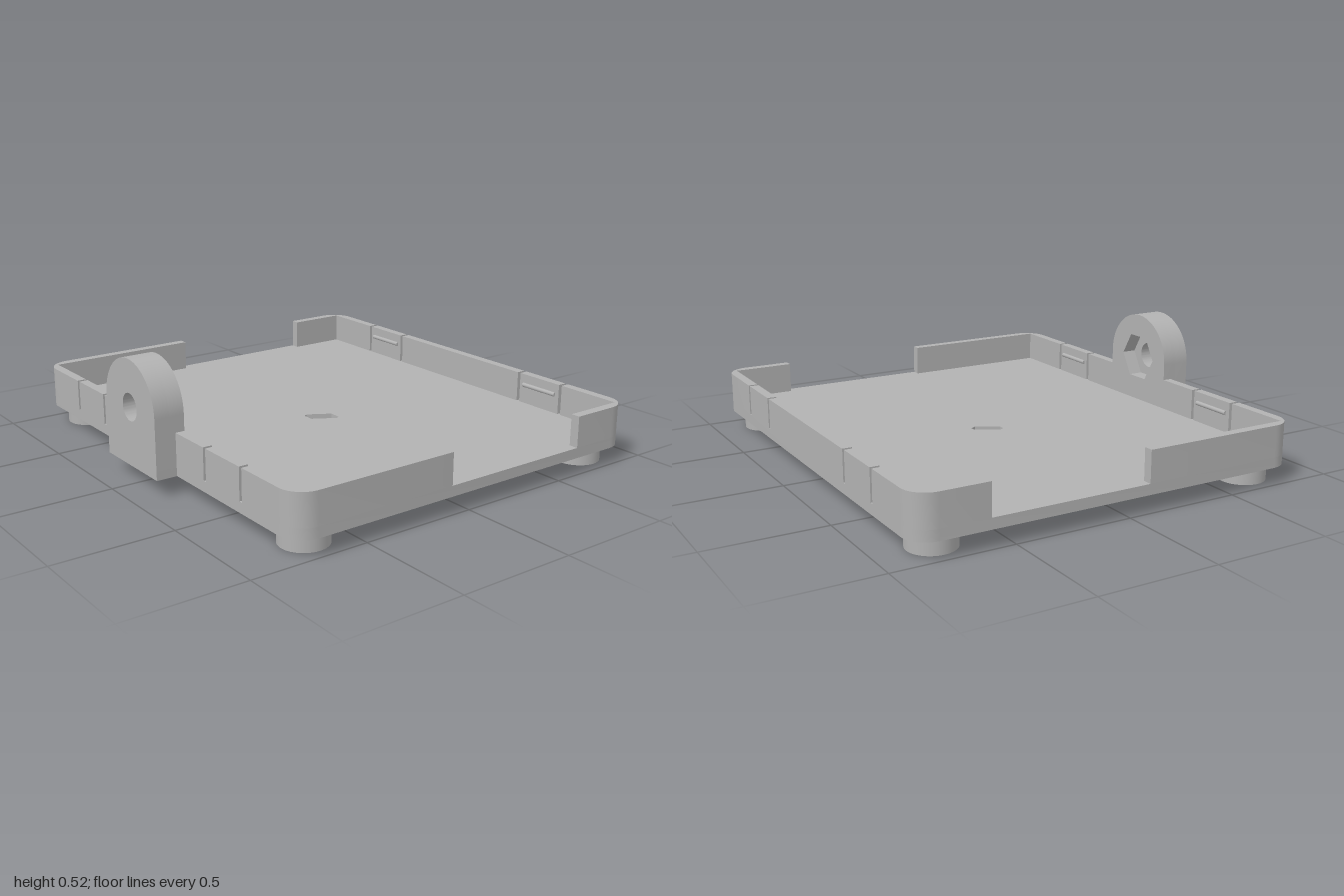
import * as THREE from 'three';
import { toCreasedNormals } from 'three/addons/utils/BufferGeometryUtils.js';

const HALF_X = 1, HALF_Z = 0.86, WALL = 0.04, RADIUS = 0.1;
const BASE_Y = 0.075, FLOOR_Y = 0.12, RIM_Y = 0.255;
const HOLE_R = 0.058, HEX_R = 0.113;

const circle = (r, y = 0) => new THREE.Path().absarc(0, y, r, 0, Math.PI * 2, true);

// hexagon with its points to the left and right
function hexagon(r, y = 0) {
  const pts = [];
  for (let i = 0; i < 6; i++) {
    const a = (-i * Math.PI) / 3;
    pts.push(new THREE.Vector2(r * Math.cos(a), y + r * Math.sin(a)));
  }
  return new THREE.Path(pts);
}

// rounded outer corner in the quadrant given by the signs
function cornerPoints(sx, sz) {
  const pts = [];
  for (let i = 0; i <= 10; i++) {
    const a = (i / 10) * Math.PI / 2;
    pts.push(new THREE.Vector2(
      sx * (HALF_X - RADIUS + RADIUS * Math.sin(a)),
      sz * (HALF_Z - RADIUS + RADIUS * Math.cos(a))));
  }
  return pts;
}

function extrude(shape, depth) {
  const geo = new THREE.ExtrudeGeometry(shape, { depth, bevelEnabled: false, curveSegments: 32 });
  return toCreasedNormals(geo, 0.5);
}

// plan outline (x, z) raised from y0 to y1
function slab(shape, y0, y1) {
  const geo = extrude(shape, y1 - y0);
  geo.rotateX(-Math.PI / 2);
  geo.translate(0, y0, 0);
  return geo;
}

export function createModel() {
  const model = new THREE.Group();
  model.name = 'mountingTray';
  const tray = new THREE.Group();
  tray.name = 'tray';
  tray.position.z = -0.045;
  model.add(tray);
  const grey = new THREE.MeshStandardMaterial({ color: 0xb2b2b2 });
  grey.name = 'grey plastic';

  const add = (name, geo, x = 0, y = 0, z = 0) => {
    const mesh = new THREE.Mesh(geo, grey);
    mesh.name = name;
    mesh.position.set(x, y, z);
    tray.add(mesh);
    return mesh;
  };

  // floor plate with the nut pocket
  const floor = new THREE.Shape([
    ...cornerPoints(1, 1), ...cornerPoints(1, -1).reverse(),
    ...cornerPoints(-1, -1), ...cornerPoints(-1, 1).reverse(),
  ]);
  floor.holes.push(hexagon(HEX_R));
  add('floor', slab(floor, BASE_Y, FLOOR_Y));

  // central boss: hexagonal pocket above, round screw hole below
  for (const [name, hole, y0, y1] of [
    ['bossPocket', hexagon(HEX_R), 0.03, BASE_Y],
    ['bossBottom', circle(HOLE_R), 0, 0.03],
  ]) {
    const disc = new THREE.Shape().absarc(0, 0, 0.266, 0, Math.PI * 2);
    disc.holes.push(hole);
    add(name, slab(disc, y0, y1));
  }

  const wallH = RIM_Y - FLOOR_Y, wallY = FLOOR_Y + wallH / 2;
  for (const sx of [-1, 1]) {
    for (const front of [true, false]) {
      const sz = front ? 1 : -1;
      const end = front ? 'front' : 'back';

      // corner wall, from the clip slot round to the side opening
      const gap = front ? 0.135 : 0.555;
      const v = (x, z) => new THREE.Vector2(sx * x, -sz * z);
      const corner = new THREE.Shape([
        v(0.668, HALF_Z), ...cornerPoints(sx, -sz), v(HALF_X, gap),
        v(HALF_X - WALL, gap), v(HALF_X - WALL, HALF_Z - WALL), v(0.668, HALF_Z - WALL),
      ]);
      add(end + 'CornerWall', slab(corner, FLOOR_Y, RIM_Y));

      // flexible clip panel between two slots, with its snap ridge
      const wz = sz * (HALF_Z - WALL / 2);
      add(end + 'Clip', new THREE.BoxGeometry(0.232, wallH, WALL), sx * 0.536, wallY, wz);
      const ridge = new THREE.CylinderGeometry(0.01, 0.01, 0.19, 12);
      ridge.rotateZ(Math.PI / 2);
      add(end + 'ClipRidge', ridge, sx * 0.536, 0.205, sz * (HALF_Z - WALL));

      // middle wall; the front one stops at the lug
      const inner = front ? 0.2 : 0;
      add(end + 'MiddleWall', new THREE.BoxGeometry(0.404 - inner, wallH, WALL),
        sx * (0.404 + inner) / 2, wallY, wz);

      // foot
      add(end + 'Foot', new THREE.CylinderGeometry(0.1, 0.1, BASE_Y, 40),
        sx * 0.855, BASE_Y / 2, sz * 0.72);
    }
  }

  // upright lug: nut pocket on the inside, round hole on the outside
  const lugY = 0.325;
  for (const [name, hole, z0, z1] of [
    ['lugPocket', hexagon(HEX_R, lugY), HALF_Z - WALL, 0.885],
    ['lugFace', circle(HOLE_R, lugY), 0.885, 0.95],
  ]) {
    const lug = new THREE.Shape();
    lug.moveTo(-0.2, BASE_Y);
    lug.lineTo(0.2, BASE_Y);
    lug.lineTo(0.2, lugY);
    lug.absarc(0, lugY, 0.2, 0, Math.PI);
    lug.lineTo(-0.2, BASE_Y);
    lug.holes.push(hole);
    add(name, extrude(lug, z1 - z0), 0, 0, z0);
  }

  return model;
}
